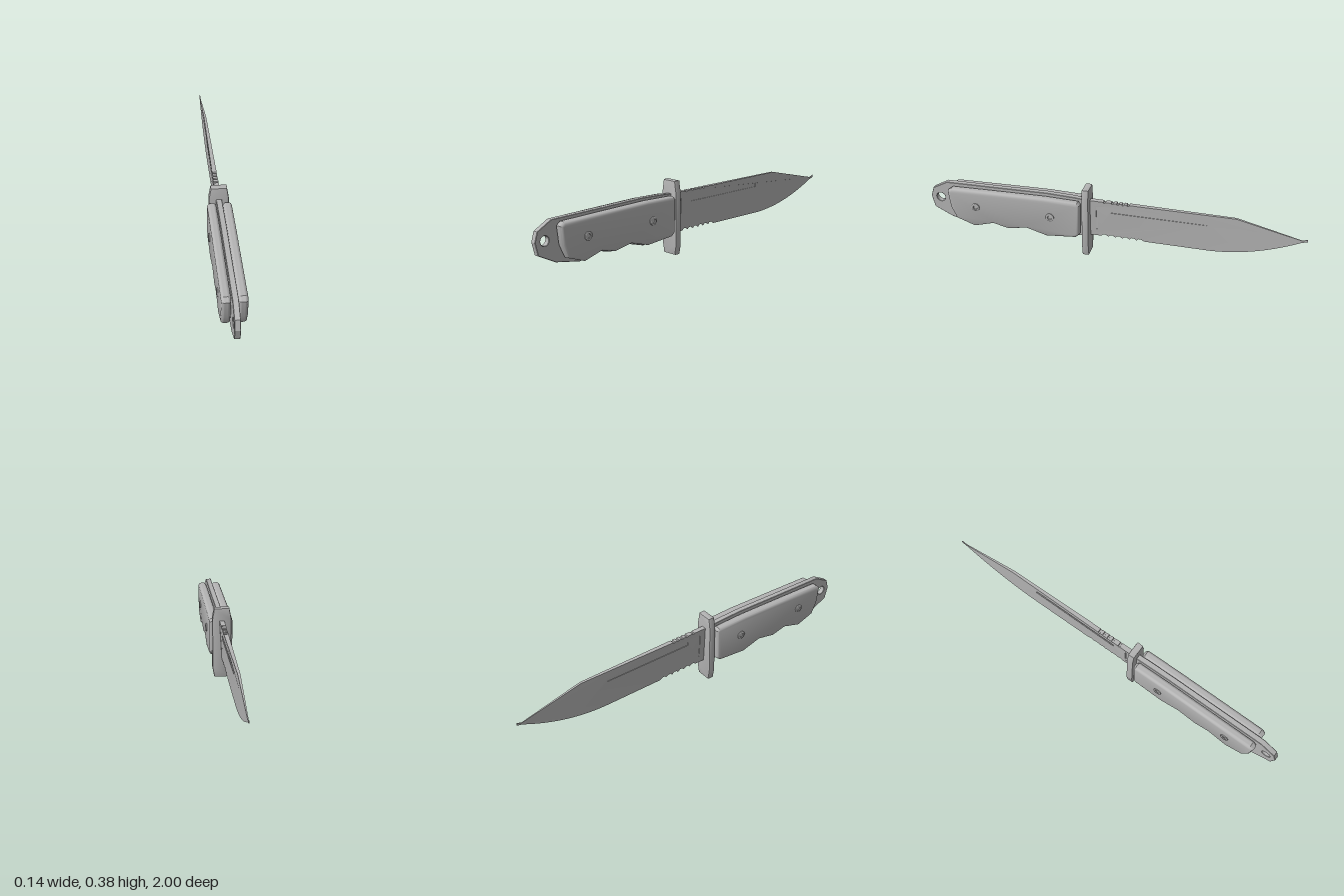
import * as THREE from 'three';
import { toCreasedNormals } from 'three/addons/utils/BufferGeometryUtils.js';

const steel = new THREE.MeshStandardMaterial({ color: 0xb4b4b4 });
steel.name = 'grey steel';

const toShape = (pts) => new THREE.Shape(pts.map(([u, v]) => new THREE.Vector2(u, v)));

// Side profile (u = -z, v = y) extruded across x, centred on x = 0, total width w
function sideSlab(shape, w, bevel = 0, segments = 3) {
  const geo = new THREE.ExtrudeGeometry(shape, {
    depth: w - 2 * bevel, bevelEnabled: bevel > 0, bevelThickness: bevel,
    bevelSize: bevel, bevelOffset: -bevel, bevelSegments: segments, curveSegments: 16,
  });
  geo.translate(0, 0, -(w - 2 * bevel) / 2);
  geo.rotateY(Math.PI / 2);
  return geo;
}

// Thins a unit-wide slab toward the cutting edge and the tip
function hollowTaper(geo, factor = 1) {
  const p = geo.attributes.position;
  for (let i = 0; i < p.count; i++) {
    const up = THREE.MathUtils.clamp((p.getY(i) - 0.105) / 0.21, 0, 1);
    const along = 1 - 0.85 * Math.max(0, -p.getZ(i));
    p.setX(i, p.getX(i) * 2 * factor * (0.001 + 0.012 * up * along));
  }
  geo.computeVertexNormals();
  return geo;
}

function rectPoints(u0, v0, u1, v1) {
  return [[u0, v0], [u1, v0], [u1, v1], [u0, v1]];
}

export function createModel() {
  const model = new THREE.Group();
  const add = (name, geo, crease = 0.5) => {
    const mesh = new THREE.Mesh(toCreasedNormals(geo, crease), steel);
    mesh.name = name;
    model.add(mesh);
    return mesh;
  };

  // Blade outline: scalloped heel, curved belly, clipped spine with thumb notches
  const blade = new THREE.Shape();
  blade.moveTo(-0.13, 0.105);
  blade.lineTo(-0.06, 0.105);
  for (let i = 0; i < 6; i++) {
    const u = -0.06 + i * 0.038;
    blade.lineTo(u + 0.008, 0.115);
    blade.lineTo(u + 0.022, 0.116);
    blade.lineTo(u + 0.038, 0.105);
  }
  blade.lineTo(0.5, 0.105);
  blade.quadraticCurveTo(0.73, 0.108, 0.97, 0.226);
  blade.lineTo(1.0, 0.234);
  blade.lineTo(1.0, 0.247);
  blade.lineTo(0.975, 0.237);
  blade.lineTo(0.64, 0.315);
  for (const u of [0.085, 0.058, 0.03, 0.002, -0.04]) {
    blade.lineTo(u + 0.006, 0.315);
    blade.lineTo(u + 0.004, 0.309);
    blade.lineTo(u - 0.004, 0.309);
    blade.lineTo(u - 0.006, 0.315);
  }
  blade.lineTo(-0.13, 0.315);

  // Long fuller and short upright groove, each with a thinner floor
  const grooves = [rectPoints(-0.005, 0.254, 0.495, 0.274), rectPoints(-0.085, 0.145, -0.077, 0.28)];
  for (const g of grooves) {
    blade.holes.push(new THREE.Path(toShape(g).getPoints()));
    add('grooveFloor', hollowTaper(sideSlab(toShape(g), 1), 0.65));
  }
  add('blade', hollowTaper(sideSlab(blade, 1)));

  // Cross guard
  const guardShape = toShape([
    [-0.04, 0], [0.04, 0], [0.05, 0.055], [0.05, 0.325], [0.04, 0.384], [-0.04, 0.384], [-0.05, 0.325], [-0.05, 0.055],
  ]);
  const guard = new THREE.ExtrudeGeometry(guardShape, {
    depth: 0.026, bevelThickness: 0.005, bevelSize: 0.005, bevelOffset: -0.005, bevelSegments: 2,
  });
  guard.translate(0, 0, 0.122);
  add('guard', guard);

  // Full tang with finger swells and a lanyard hole
  const tang = toShape([
    [-1.0, 0.22], [-0.983, 0.155], [-0.885, 0.107], [-0.745, 0.083], [-0.64, 0.113], [-0.555, 0.092],
    [-0.455, 0.113], [-0.345, 0.083], [-0.155, 0.1], [-0.13, 0.105], [-0.13, 0.315], [-0.2, 0.321],
    [-0.35, 0.326], [-0.6, 0.32], [-0.905, 0.314], [-0.985, 0.27],
  ]);
  const hole = new THREE.Path();
  hole.absarc(-0.945, 0.22, 0.024, 0, Math.PI * 2, true);
  tang.holes.push(hole);
  add('tang', sideSlab(tang, 0.029, 0.002, 1));

  // Rounded grip scales and ring-headed rivets on both sides
  const scaleShape = toShape([
    [-0.887, 0.285], [-0.875, 0.19], [-0.845, 0.127], [-0.745, 0.092], [-0.64, 0.123], [-0.555, 0.103],
    [-0.455, 0.123], [-0.345, 0.092], [-0.185, 0.107], [-0.165, 0.125], [-0.162, 0.298], [-0.175, 0.312],
    [-0.35, 0.316], [-0.6, 0.31], [-0.865, 0.303],
  ]);
  const rivetProfile = [
    [0.022, 0], [0.022, 0.007], [0.019, 0.009], [0.012, 0.009], [0.01, 0.005], [0, 0.005],
  ].map(([r, h]) => new THREE.Vector2(r, h));
  for (const side of [1, -1]) {
    const label = side > 0 ? 'left' : 'right';
    add(label + 'GripScale', sideSlab(scaleShape, 0.046, 0.016, 4), 0.6).position.x = side * 0.039;
    for (const z of [0.73, 0.32]) {
      const rivet = new THREE.LatheGeometry(rivetProfile, 20);
      rivet.rotateZ(-side * Math.PI / 2);
      add(label + 'Rivet', rivet).position.set(side * 0.06, 0.213, z);
    }
  }
  return model;
}
